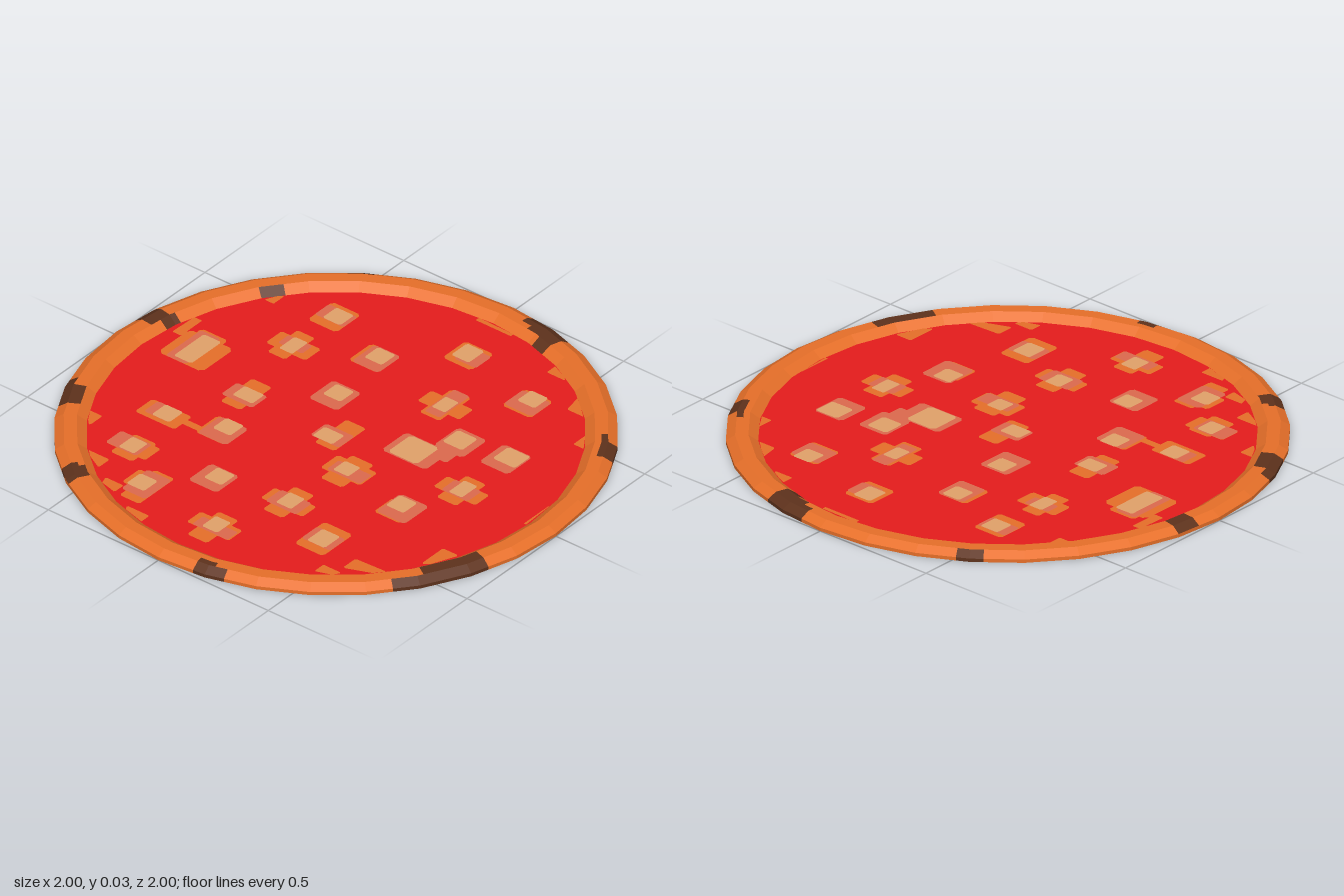
import * as THREE from 'three';
import { mergeGeometries } from 'three/addons/utils/BufferGeometryUtils.js';

const SIDES = 32, STEPS = 8, SAUCE_R = 0.885, SAUCE_Y = 0.008;
const SAUCE_INNER = SAUCE_R * Math.cos(Math.PI / SIDES);

function makeMaterial(name, color) {
  const m = new THREE.MeshStandardMaterial({ color, side: THREE.DoubleSide });
  m.name = name;
  return m;
}

// Crust profile from the outer foot over the top to the sauce: [radius, height]
// Bands: 0 wall, 1 outer slope, 2 outer top, 3 inner top, 4 inner slope
const PROFILE = [[1, 0], [1, 0.013], [0.967, 0.033], [0.943, 0.033], [0.92, 0.033], [SAUCE_R, SAUCE_Y]];

// Scorched spots: [start degree, end degree, first band, last band]
const CHAR = [
  [276, 287, 0, 2], [278, 287, 3, 3], [282, 287, 4, 4], [326, 332, 0, 1], [323, 332, 2, 2],
  [18, 24, 0, 3], [24, 39, 0, 1], [24, 32, 2, 3], [74, 82, 0, 1], [78, 82, 2, 2],
  [125, 128, 0, 0], [122, 128, 1, 2], [122, 126, 3, 3], [150, 160, 0, 1], [150, 157, 2, 3],
  [186, 191, 1, 3], [188, 192, 4, 4], [234, 239, 0, 1], [214, 220, 4, 4],
];

// A point on the many-sided ring, so columns inside one side stay on its flat face
function ringPoint([r, y], col) {
  const step = (2 * Math.PI) / SIDES;
  const a = (col / STEPS) * step;
  const local = ((col % STEPS) / STEPS - 0.5) * step;
  const rr = (r * Math.cos(step / 2)) / Math.cos(local);
  return [rr * Math.cos(a), y, rr * Math.sin(a)];
}

function crustGeometry(charred) {
  const pos = [];
  const columns = SIDES * STEPS;
  for (let c = 0; c < columns; c++) {
    const deg = ((c + 0.5) / columns) * 360;
    for (let b = 0; b < PROFILE.length - 1; b++) {
      const dark = CHAR.some(([s, e, lo, hi]) => deg >= s && deg <= e && b >= lo && b <= hi);
      if (dark !== charred) continue;
      const b0 = ringPoint(PROFILE[b], c), t0 = ringPoint(PROFILE[b + 1], c);
      const b1 = ringPoint(PROFILE[b], c + 1), t1 = ringPoint(PROFILE[b + 1], c + 1);
      pos.push(...b0, ...t0, ...t1, ...b0, ...t1, ...b1);
    }
  }
  const g = new THREE.BufferGeometry();
  g.setAttribute('position', new THREE.Float32BufferAttribute(pos, 3));
  g.computeVertexNormals();
  return g;
}

// Topping patches in hundredths: [x, z, width, depth]
const BROWNED = [
  [6, -67, 13, 13], [-46, -56, 13, 14], [-19, -45, 13, 13], [-46, -33, 18, 9], [-47, -33, 8, 17],
  [19, -38, 19, 8], [19, -38, 9, 18], [41, -57, 13, 13], [-71, -9, 20, 18], [-72, -12, 12, 18],
  [-40, 1, 9, 18], [2, 0, 9, 18], [57, 0, 19, 8], [57, 0, 9, 17], [18, 15, 18, 10], [18, 16, 10, 18],
  [47, 24, 12, 11], [-55, 29, 18, 10], [-45, 28, 20, 3], [-33, 24, 13, 13], [-51, 51, 18, 9],
  [-50, 52, 10, 14], [14, 44, 19, 8], [14, 44, 9, 18], [38, 54, 13, 17], [-34, 66, 12, 10],
  [-31, 68, 9, 20], [3, 72, 19, 8], [3, 73, 9, 18],
];
const EDGE = [
  [38, -79, 8, 5], [58, -68, 8, 10], [72, -51, 5, 7], [62, 60, 15, 7], [52, 69, 8, 5], [78, 38, 7, 12],
  [-24, 84, 10, 5], [2, -87, 16, 2], [-83, -19, 4, 12], [-74, 47, 6, 7], [-57, 66, 10, 6],
  [88, -5, 2, 14], [-70, -52, 4, 6], [-42, 75, 8, 5],
];
const MELTED = [
  [8, -67, 10, 9], [-46, -57, 13, 8], [-18, -45, 12, 13], [-46, -34, 11, 6], [19, -39, 7, 17],
  [41, -57, 13, 11], [38, -23, 13, 14], [57, -25, 13, 14], [-15, -18, 13, 14], [29, -9, 20, 14],
  [37, -14, 10, 8], [-73, -10, 9, 20], [-40, 2, 14, 9], [0, 2, 13, 9], [57, 0, 12, 8], [19, 16, 15, 7],
  [48, 22, 13, 14], [-56, 28, 11, 8], [-32, 24, 13, 13], [-53, 51, 14, 9], [-16, 49, 13, 13],
  [14, 44, 14, 9], [38, 54, 13, 9], [-32, 67, 11, 15], [4, 73, 16, 6],
];
const CHEESE = [
  [5, -68, 8, 9], [-45, -57, 8, 8], [-18, -47, 8, 8], [-46, -33, 6, 9], [19, -38, 6, 8], [41, -60, 8, 8],
  [37, -24, 9, 9], [58, -27, 10, 9], [-15, -20, 8, 8], [28, -9, 13, 13], [-71, -10, 8, 17], [-39, 1, 9, 7],
  [-1, 3, 9, 7], [57, -1, 6, 9], [17, 15, 7, 7], [46, 20, 8, 8], [-54, 28, 8, 8], [-32, 21, 8, 8],
  [-51, 51, 7, 8], [-15, 47, 8, 8], [14, 43, 7, 8], [38, 54, 8, 9], [-34, 67, 8, 8], [3, 71, 7, 8],
];

// Flat rectangle with clipped corners, kept inside the rim of the sauce
function patch([x, z, w, d], y) {
  const hw = w / 200, hd = d / 200, k = Math.min(hw, hd) * 0.18;
  const pts = [[hw - k, hd], [k - hw, hd], [-hw, hd - k], [-hw, k - hd], [k - hw, -hd], [hw - k, -hd], [hw, k - hd], [hw, hd - k]];
  const outline = pts.map(([a, b]) => new THREE.Vector2(a + x / 100, b - z / 100).clampLength(0, SAUCE_INNER));
  return new THREE.ShapeGeometry(new THREE.Shape(outline)).rotateX(-Math.PI / 2).translate(0, y, 0);
}

// Each layer shows on the top and the underside of the sauce
function patchLayer(list, level) {
  const lift = level * 0.0012;
  return mergeGeometries([SAUCE_Y + lift, SAUCE_Y - lift].flatMap((y) => list.map((p) => patch(p, y))));
}

export function createModel() {
  const crust = makeMaterial('baked crust orange', 0xe87029);
  const char = makeMaterial('scorched brown', 0x5e321c);
  const sauce = makeMaterial('tomato red', 0xe61c1c);
  const melted = makeMaterial('melted pink', 0xde6a4e);
  const cheese = makeMaterial('cheese tan', 0xe2a26a);

  const group = new THREE.Group();
  group.name = 'pizza';
  const add = (name, geometry, material) => {
    const mesh = new THREE.Mesh(geometry, material);
    mesh.name = name;
    group.add(mesh);
  };

  add('crust', crustGeometry(false), crust);
  add('crustScorches', crustGeometry(true), char);
  add('sauce', new THREE.CircleGeometry(SAUCE_R, SIDES).rotateX(-Math.PI / 2).translate(0, SAUCE_Y, 0), sauce);
  add('brownedPatches', patchLayer([...BROWNED, ...EDGE], 1), crust);
  add('meltedPatches', patchLayer(MELTED, 2), melted);
  add('cheesePatches', patchLayer(CHEESE, 3), cheese);
  return group;
}
